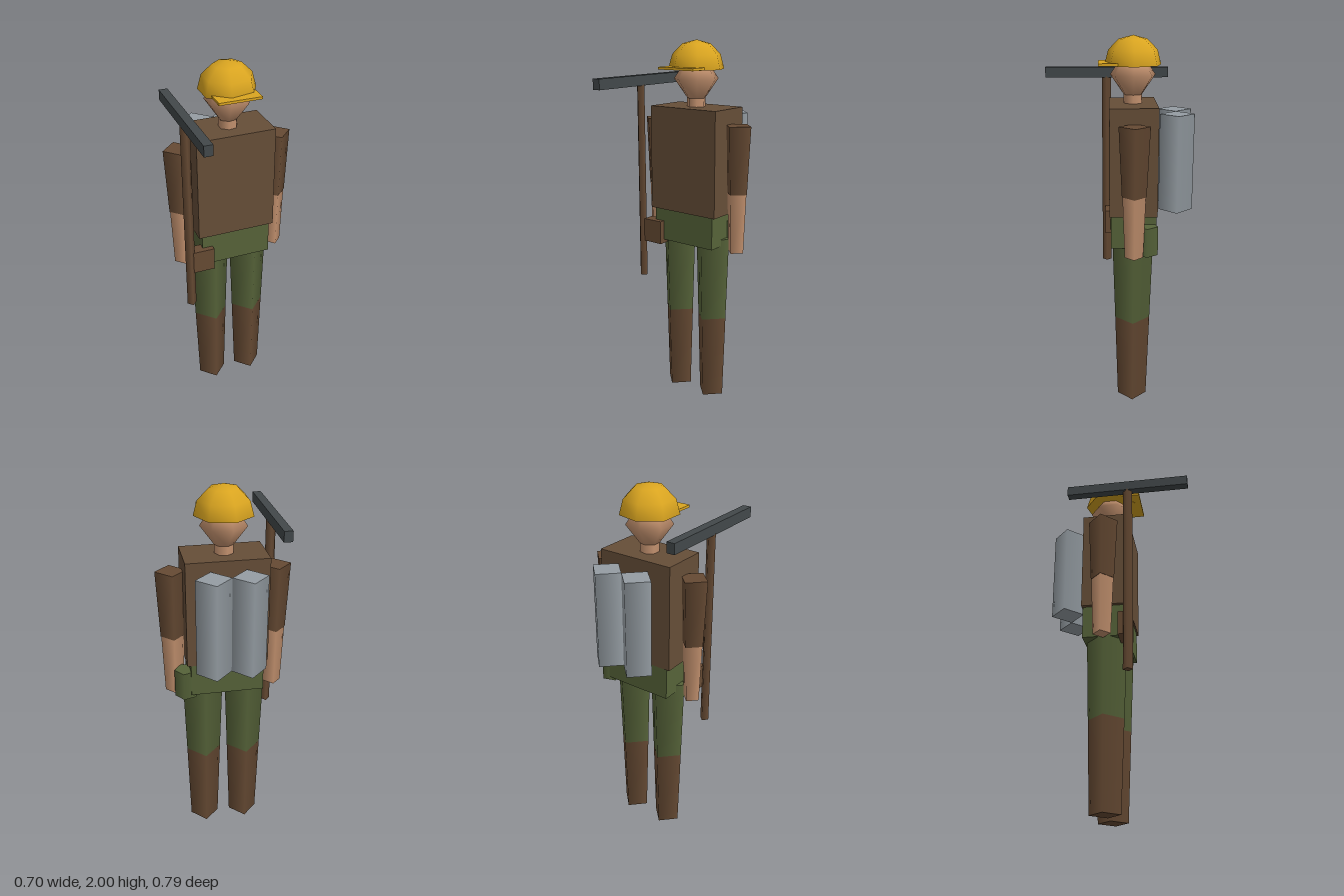
import * as THREE from 'three';

const material = (name, color) => {
  const m = new THREE.MeshStandardMaterial({ color });
  m.name = name;
  return m;
};

export function createModel() {
  const jacketBrown = material('jacketBrown', 0x664e38);
  const leatherBrown = material('leatherBrown', 0x664a33);
  const green = material('trouserGreen', 0x566339);
  const skin = material('skin', 0xc4926f);
  const yellow = material('helmetYellow', 0xdaa520);
  const steel = material('tankSteel', 0x959da3);
  const iron = material('pickIron', 0x42484a);

  const group = new THREE.Group();
  const axisZ = -0.08; // the figure stands a little behind centre

  const add = (name, geometry, mat, x, y, z) => {
    const mesh = new THREE.Mesh(geometry, mat);
    mesh.name = name;
    mesh.position.set(x, y, z);
    group.add(mesh);
    return mesh;
  };
  // Box given by its two extents on each axis
  const box = (name, mat, x0, x1, y0, y1, z0, z1) =>
    add(name, new THREE.BoxGeometry(x1 - x0, y1 - y0, z1 - z0), mat,
      (x0 + x1) / 2, (y0 + y1) / 2, (z0 + z1) / 2);
  // Tapered smooth-shaded prism with its first corner pointing to +x
  const prism = (name, mat, x, z, y0, y1, rBottom, rTop, sides = 4) => {
    const g = new THREE.CylinderGeometry(rTop, rBottom, y1 - y0, sides);
    g.rotateY(Math.PI / 2);
    return add(name, g, mat, x, (y0 + y1) / 2, z);
  };

  // Trunk
  box('torso', jacketBrown, -0.213, 0.213, 1.09, 1.655, -0.205, 0.045);
  box('hips', green, -0.193, 0.193, 0.912, 1.09, -0.2, 0.037);

  // Limbs and back tanks, mirrored
  for (const [side, s] of [['left', 1], ['right', -1]]) {
    prism(side + 'Boot', leatherBrown, s * 0.115, axisZ, 0, 0.48, 0.08, 0.095);
    prism(side + 'Thigh', green, s * 0.115, axisZ, 0.48, 0.95, 0.095, 0.11);
    prism(side + 'Sleeve', leatherBrown, s * 0.27, axisZ, 1.215, 1.575, 0.063, 0.08);
    prism(side + 'Forearm', skin, s * 0.27, axisZ, 0.89, 1.215, 0.048, 0.06);
    prism(side + 'Tank', steel, s * 0.09, -0.307, 1.1, 1.61, 0.09, 0.09);
  }

  // Neck and head
  prism('neck', skin, 0, axisZ, 1.64, 1.705, 0.05, 0.05, 7);
  const headProfile = [[0, 1.66], [0.05, 1.7], [0.122, 1.8], [0.08, 1.86], [0, 1.92]]
    .map(([r, y]) => new THREE.Vector2(r, y));
  const headGeometry = new THREE.LatheGeometry(headProfile, 7);
  headGeometry.rotateY(Math.PI / 2);
  add('head', headGeometry, skin, 0, 0, axisZ);

  // Hard hat: dome, closed underside and front brim
  const dome = new THREE.SphereGeometry(0.152, 7, 3, 0, Math.PI * 2, 0, Math.PI / 2);
  dome.scale(1, 0.15 / 0.152, 1);
  dome.rotateY(Math.PI);
  add('helmetDome', dome, yellow, 0, 1.85, axisZ);
  const underside = new THREE.CircleGeometry(0.152, 7);
  underside.rotateX(Math.PI / 2);
  add('helmetUnderside', underside, yellow, 0, 1.85, axisZ);
  box('helmetBrim', yellow, -0.113, 0.112, 1.852, 1.865, 0, 0.1);

  // Belt items
  box('beltPouch', leatherBrown, -0.255, -0.137, 0.89, 1.02, 0, 0.066);
  prism('canteen', green, 0.215, -0.15, 0.89, 1.045, 0.06, 0.06, 5);

  // Pickaxe
  prism('pickHandle', leatherBrown, -0.272, 0.057, 0.683, 1.765, 0.026, 0.026);
  box('pickHead', iron, -0.295, -0.25, 1.76, 1.815, -0.284, 0.395);

  return group;
}
